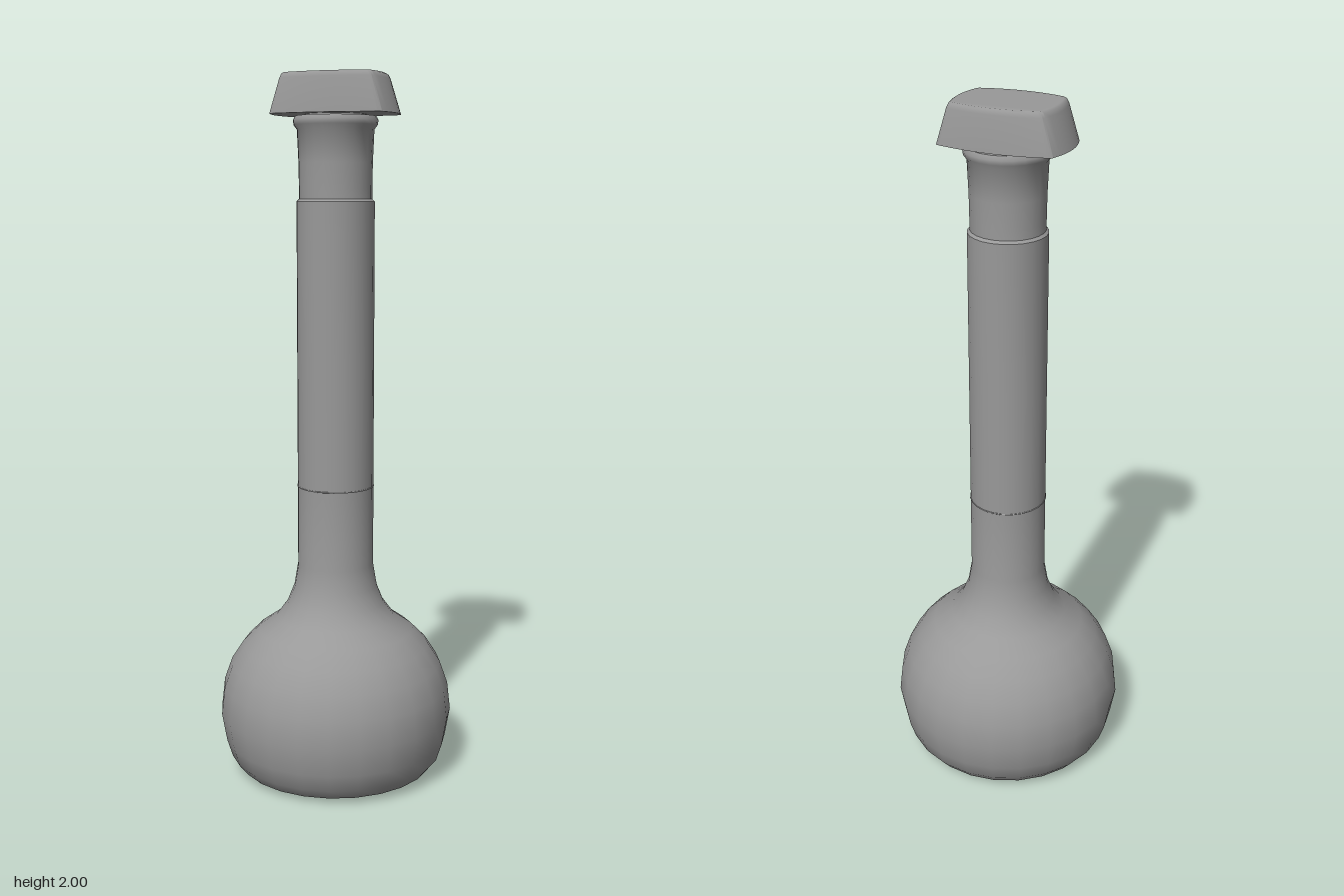
import * as THREE from 'three';
import { toCreasedNormals } from 'three/addons/utils/BufferGeometryUtils.js';

const SIDES = 24;
const material = new THREE.MeshStandardMaterial({ color: 0x999999 });

function addPart(group, name, geometry, crease = 0.7) {
  const mesh = new THREE.Mesh(toCreasedNormals(geometry, crease), material);
  mesh.name = name;
  group.add(mesh);
  return mesh;
}

// Profile as [radius, height] pairs, from the bottom up
const lathe = (profile) =>
  new THREE.LatheGeometry(profile.map(([r, y]) => new THREE.Vector2(r, y)), SIDES);

// Bowed rectangular grip, narrowing towards a softly rounded top edge
function stopperGrip() {
  const shape = new THREE.Shape();
  shape.moveTo(0.161, -0.088);
  shape.quadraticCurveTo(0.193, 0, 0.161, 0.088);
  shape.quadraticCurveTo(0.159, 0.096, 0.148, 0.098);
  shape.quadraticCurveTo(0, 0.138, -0.148, 0.098);
  shape.quadraticCurveTo(-0.159, 0.096, -0.161, 0.088);
  shape.quadraticCurveTo(-0.193, 0, -0.161, -0.088);
  shape.quadraticCurveTo(-0.159, -0.096, -0.148, -0.098);
  shape.quadraticCurveTo(0, -0.138, 0.148, -0.098);
  shape.quadraticCurveTo(0.159, -0.096, 0.161, -0.088);
  // Height, width scale and depth scale of each layer
  const layers = [
    [1.891, 1, 1], [1.985, 0.83, 0.925], [1.996, 0.8, 0.9], [2, 0.765, 0.865], [2, 0.73, 0.82],
  ];
  const steps = layers.length - 1;
  const geometry = new THREE.ExtrudeGeometry(shape, {
    depth: steps, steps, bevelEnabled: false, curveSegments: 8,
  });
  geometry.rotateX(-Math.PI / 2);
  const p = geometry.attributes.position;
  for (let i = 0; i < p.count; i++) {
    const [y, sx, sz] = layers[Math.round(p.getY(i))];
    p.setXYZ(i, p.getX(i) * sx, y, p.getZ(i) * sz);
  }
  return geometry;
}

export function createModel() {
  const model = new THREE.Group();
  model.name = 'volumetricFlask';

  // Bulb, long neck, ground collar and rolled rim, turning into the mouth
  addPart(model, 'flaskBody', lathe([
    [0, 0.005], [0.2, 0.002], [0.245, 0.004], [0.282, 0.018], [0.308, 0.05],
    [0.324, 0.1], [0.338, 0.18], [0.329, 0.26], [0.306, 0.325], [0.27, 0.38],
    [0.225, 0.425], [0.172, 0.462], [0.14, 0.505], [0.12, 0.555], [0.109, 0.62],
    [0.109, 0.85], [0.109, 1.2], [0.109, 1.655], [0.102, 1.662], [0.102, 1.69],
    [0.103, 1.76], [0.107, 1.85], [0.116, 1.862], [0.118, 1.875], [0.112, 1.886],
    [0.092, 1.886], [0.086, 1.86], [0.08, 1.66],
  ]));

  // Fine fill line around the neck
  const line = new THREE.TorusGeometry(0.109, 0.002, 6, SIDES);
  line.rotateX(Math.PI / 2);
  addPart(model, 'fillLine', line, 1.2).position.y = 0.85;

  // Stopper: tapered plug inside the mouth and the grip above it
  const stopper = new THREE.Group();
  stopper.name = 'stopper';
  model.add(stopper);
  addPart(stopper, 'stopperPlug', lathe([
    [0, 1.67], [0.077, 1.67], [0.084, 1.86], [0.086, 1.9],
  ]));
  addPart(stopper, 'stopperGrip', stopperGrip(), 0.9);

  return model;
}
